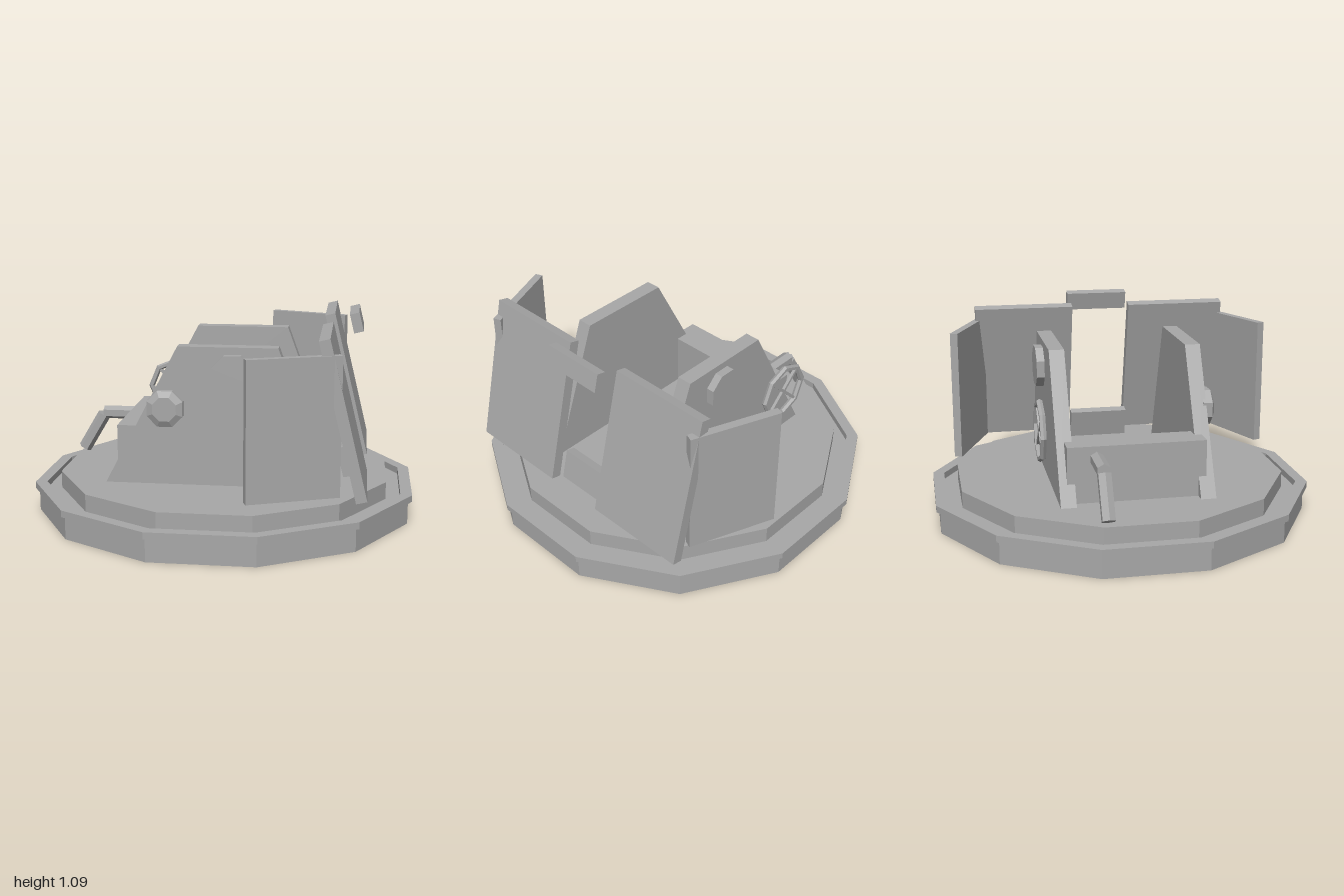
import * as THREE from 'three';

const grey = new THREE.MeshStandardMaterial({ color: 0xa8a8a8, flatShading: true });
grey.name = 'plain grey';

export function createModel() {
  const root = new THREE.Group();
  root.name = 'shieldedMount';

  function add(name, geometry, x = 0, y = 0, z = 0, parent = root) {
    const mesh = new THREE.Mesh(geometry, grey);
    mesh.name = name;
    mesh.position.set(x, y, z);
    parent.add(mesh);
    return mesh;
  }
  const box = (w, h, d) => new THREE.BoxGeometry(w, h, d);

  // Twelve-sided tiers, sized by the distance to a flat side
  const toCorner = 1 / Math.cos(Math.PI / 12);
  function tier(name, apothem, y0, y1) {
    const r = apothem * toCorner;
    add(name, new THREE.CylinderGeometry(r, r, y1 - y0, 12, 1, false, Math.PI / 12), 0, (y0 + y1) / 2, 0);
  }
  tier('base', 0.98, 0, 0.12);
  tier('turntable', 0.865, 0.12, 0.21);

  // Raised rim around the base
  const rim = [[1, 0.12], [1, 0.155], [0.94, 0.155], [0.94, 0.12], [1, 0.12]]
    .map(([a, y]) => new THREE.Vector2(a * toCorner, y));
  add('rim', new THREE.LatheGeometry(rim, 12, Math.PI / 12));

  // Tapered cheek plates with an octagonal boss on each
  const cheek = new THREE.Shape([[-0.58, 0.21], [0.575, 0.21], [0.31, 0.93], [-0.2, 0.93]]
    .map(([x, y]) => new THREE.Vector2(x, y)));
  const cheekGeometry = new THREE.ExtrudeGeometry(cheek, { depth: 0.08, bevelEnabled: false })
    .translate(0, 0, -0.04);
  const octagon = (top, bottom, depth) =>
    new THREE.CylinderGeometry(top, bottom, depth, 8, 1, false, Math.PI / 8).rotateX(Math.PI / 2);

  // Shields lean back; the wings are upright and angled inward
  const lean = 0.24;
  for (const s of [1, -1]) {
    const side = s > 0 ? 'front' : 'back';
    add(side + 'Cheek', cheekGeometry, 0, 0, s * 0.358);
    add(side + 'Boss', octagon(0.113, 0.113, 0.05), 0.082, 0.788, s * 0.415);
    add(side + 'Shield', box(0.055, 0.805, 0.555), 0.644, 0.637, s * 0.442).rotation.z = lean;
    add(side + 'Wing', box(0.47, 0.69, 0.042), 0.41, 0.61, s * 0.772).rotation.y = s * 0.38;
  }

  // Bars bridging the gap between the shields
  add('lowerShieldBar', box(0.05, 0.163, 0.33), 0.648, 0.293, 0).rotation.z = lean;
  add('upperShieldBar', box(0.05, 0.1, 0.345), 0.693, 1.032, 0).rotation.z = lean;

  // Cross block between the cheeks
  add('crossBlock', box(0.17, 0.295, 0.715), -0.44, 0.3575, 0);

  // Dial with a shallow raised face
  add('dial', octagon(0.1, 0.1, 0.05), -0.262, 0.613, 0.407);
  add('dialFace', octagon(0.066, 0.1, 0.016), -0.262, 0.613, 0.44);

  // Six-sided bent arm
  function armBar(name, x0, y0, x1, y1) {
    const dx = x1 - x0, dy = y1 - y0;
    const bar = new THREE.CylinderGeometry(0.037, 0.037, Math.hypot(dx, dy), 6, 1, false, Math.PI / 2);
    add(name, bar, (x0 + x1) / 2, (y0 + y1) / 2, -0.207).rotation.z = Math.atan2(-dx, dy);
  }
  armBar('armTop', -0.45, 0.441, -0.725, 0.441);
  armBar('armDrop', -0.727, 0.429, -0.845, 0.23);

  // Handwheel with crossed spokes
  const wheel = new THREE.Group();
  wheel.name = 'handwheel';
  wheel.position.set(-0.35, 0.55, -0.468);
  root.add(wheel);
  add('wheelRing', new THREE.TorusGeometry(0.149, 0.017, 6, 8), 0, 0, 0, wheel);
  for (const s of [1, -1]) {
    add('spoke', box(0.29, 0.016, 0.016), 0, 0, 0, wheel).rotation.z = s * Math.PI / 4;
  }

  return root;
}
